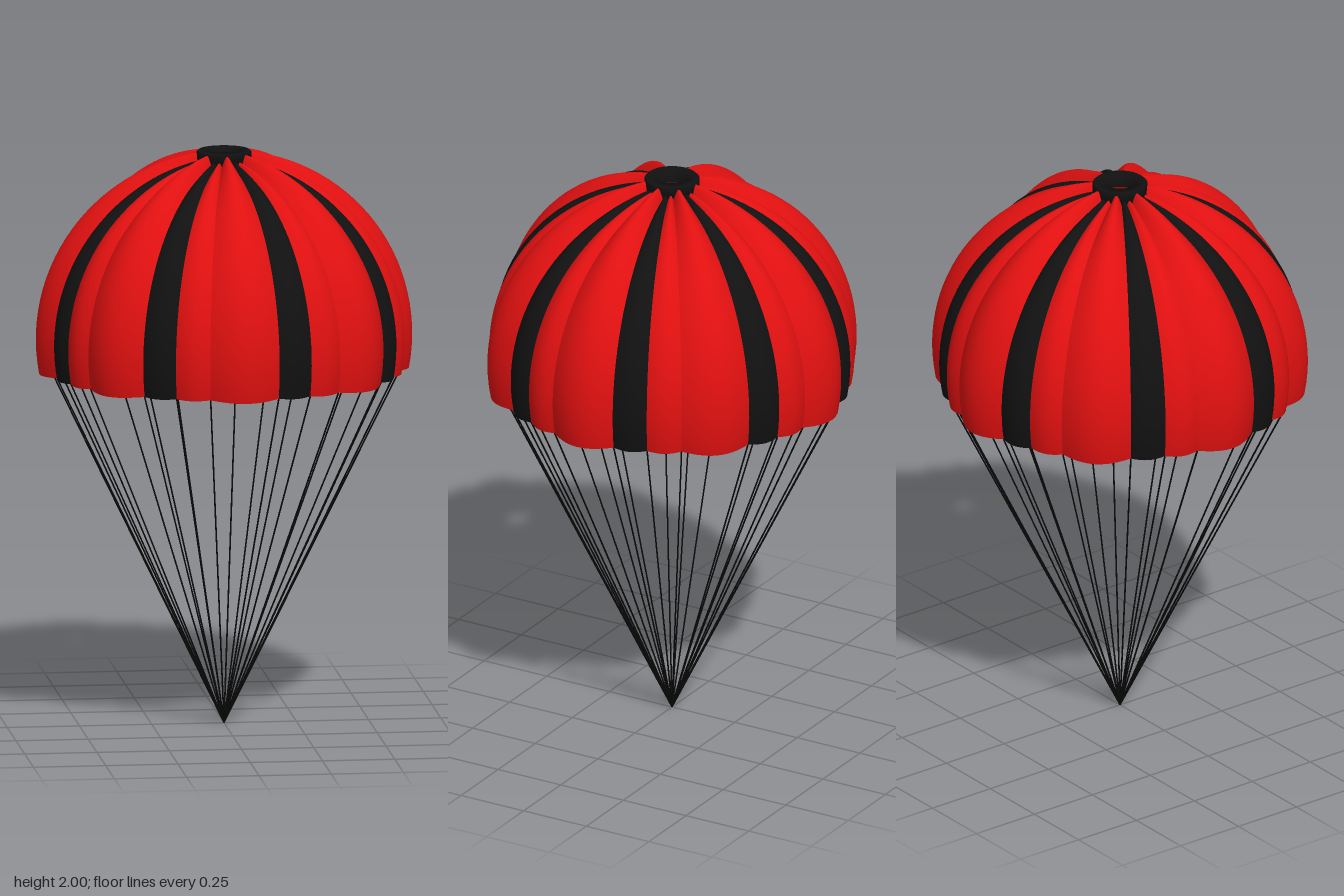
import * as THREE from 'three';
import { ParametricGeometry } from 'three/addons/geometries/ParametricGeometry.js';

const DEG = Math.PI / 180;
const CENTRE_Y = 1.35;      // centre of the dome
const SEAM_R = 0.614;       // dome radius along the seams
const LOW = -10.6 * DEG;    // elevation of the hem
const HIGH = 82.5 * DEG;    // elevation of the vent edge

// Point on the dome at a heading (0 = front), elevation and radius
function domePoint(heading, elevation, r, target = new THREE.Vector3()) {
  const h = r * Math.cos(elevation);
  return target.set(h * Math.sin(heading), CENTRE_Y + r * Math.sin(elevation), h * Math.cos(heading));
}

// One cloth gore that puffs outward between its two seams
function goreGeometry(from, to, bulge, columns) {
  return new ParametricGeometry((u, v, target) => {
    const r = SEAM_R + bulge * Math.sin(Math.PI * u);
    domePoint((from + (to - from) * u) * DEG, LOW + (HIGH - LOW) * v, r, target);
  }, columns, 28);
}

export function createModel() {
  const model = new THREE.Group();
  model.name = 'parachute';

  const red = new THREE.MeshStandardMaterial({ name: 'red cloth', color: 0xe01010, side: THREE.DoubleSide });
  const black = new THREE.MeshStandardMaterial({ name: 'black cloth', color: 0x111111, side: THREE.DoubleSide });
  const cord = new THREE.MeshStandardMaterial({ name: 'black cord', color: 0x080808 });

  const add = (parent, name, geometry, material) => {
    const mesh = new THREE.Mesh(geometry, material);
    mesh.name = name;
    parent.add(mesh);
    return mesh;
  };

  const canopy = new THREE.Group();
  canopy.name = 'canopy';
  const lines = new THREE.Group();
  lines.name = 'suspensionLines';
  model.add(canopy, lines);

  // Eight repeats of a wide red gore, a narrow black stripe and a narrow red gore
  const gores = [
    { name: 'wideRedGore', from: -11.25, to: 11.25, bulge: 0.036, columns: 14, material: red },
    { name: 'blackStripe', from: 11.25, to: 22.5, bulge: 0.014, columns: 8, material: black },
    { name: 'narrowRedGore', from: 22.5, to: 33.75, bulge: 0.014, columns: 8, material: red },
  ];
  const foot = new THREE.Vector3(0, 0, 0);
  const up = new THREE.Vector3(0, 1, 0);
  for (let i = 0; i < 8; i++) {
    for (const g of gores) {
      const turn = i * 45;
      add(canopy, g.name, goreGeometry(g.from + turn, g.to + turn, g.bulge, g.columns), g.material);

      // A cord from the hem at each seam down to the gathering point
      const top = domePoint((g.to + turn) * DEG, LOW, SEAM_R);
      const span = top.clone().sub(foot);
      const line = add(lines, 'suspensionLine', new THREE.CylinderGeometry(0.003, 0.003, span.length(), 6), cord);
      line.position.copy(top).add(foot).multiplyScalar(0.5);
      line.quaternion.setFromUnitVectors(up, span.normalize());
    }
  }

  // Ring around the open vent
  const [inner, outer, bottom, crown] = [0.053, 0.095, 1.955, 2.0];
  const section = [
    [inner, bottom], [outer, bottom], [outer, crown - 0.006],
    [outer - 0.006, crown], [inner, crown], [inner, bottom],
  ].map(([x, y]) => new THREE.Vector2(x, y));
  add(canopy, 'ventRing', new THREE.LatheGeometry(section, 48), black);

  return model;
}
